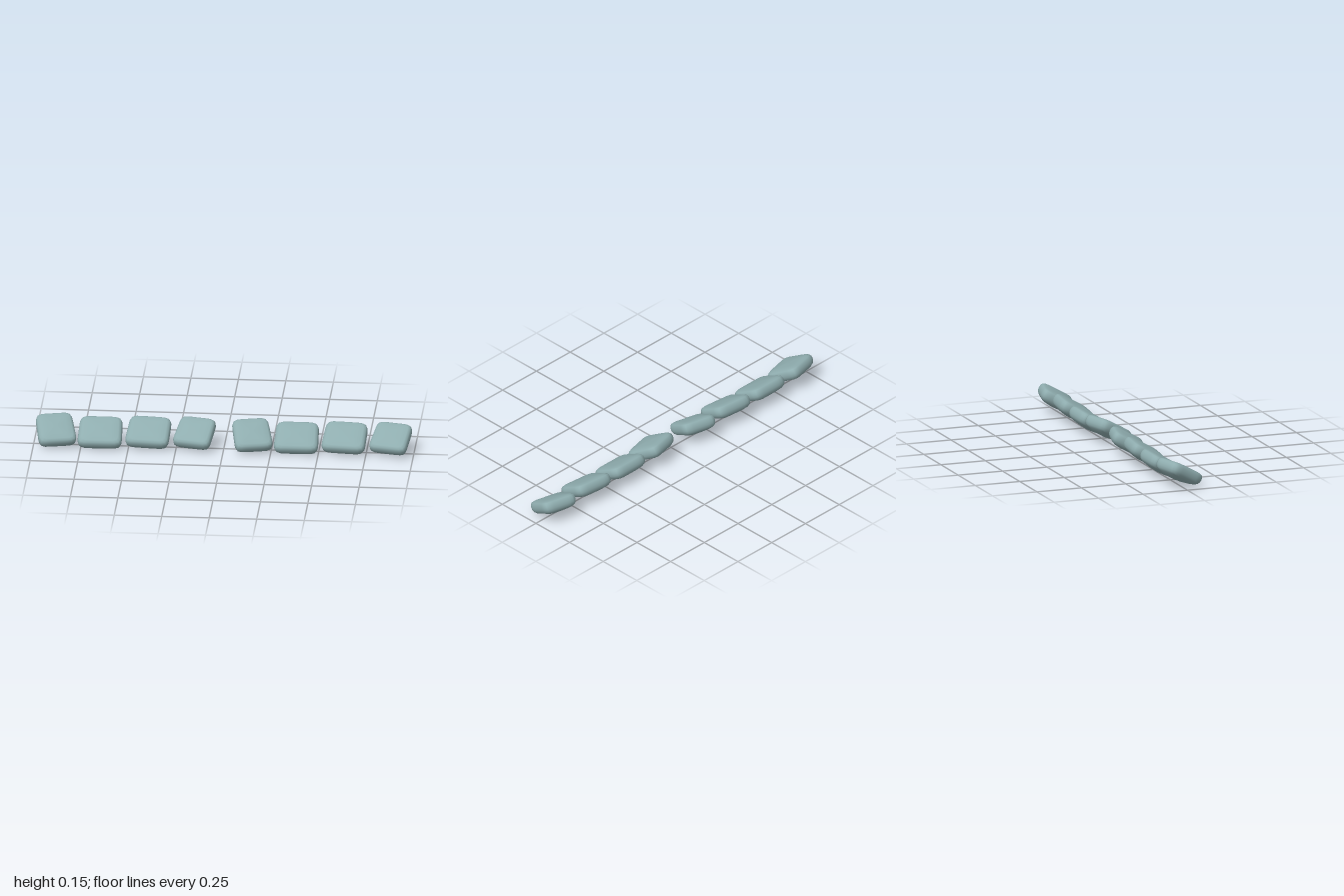
import * as THREE from 'three';
import { mergeVertices } from 'three/addons/utils/BufferGeometryUtils.js';

// Edge profile of a pad, bottom centre to top centre: [share of half width, height]
const PROFILE = [
  [0, -0.05], [0.3, -0.047], [0.6, -0.041], [0.82, -0.033], [0.93, -0.023], [0.985, -0.01],
  [1, 0.003], [0.985, 0.015], [0.94, 0.025], [0.83, 0.032], [0.55, 0.035], [0.28, 0.037], [0, 0.038],
];
const TILT = 0.5;

// Pillow-shaped pad: a lathed profile pushed out to a rounded rectangle
function padGeometry(halfWidth, halfDepth) {
  const points = PROFILE.map(([r, y]) => new THREE.Vector2(r, y));
  let geo = new THREE.LatheGeometry(points, 40);
  geo.deleteAttribute('uv');
  geo.deleteAttribute('normal');
  const pos = geo.attributes.position;
  for (let i = 0; i < pos.count; i++) {
    const x = pos.getX(i), z = pos.getZ(i);
    const r = Math.hypot(x, z);
    if (r < 1e-6) {
      pos.setXYZ(i, 0, pos.getY(i), 0);
      continue;
    }
    const c = Math.abs(x / r), s = Math.abs(z / r), p = 7;
    const f = Math.pow(Math.pow(c, p) + Math.pow(s, p), -1 / p);
    const taper = 1 + 0.025 * z * f; // slightly narrower at the back
    pos.setXYZ(i, x * f * halfWidth * taper, pos.getY(i), z * f * halfDepth);
  }
  geo = mergeVertices(geo, 1e-5);
  geo.computeVertexNormals();
  return geo;
}

export function createModel() {
  const model = new THREE.Group();
  model.name = 'padRow';
  const material = new THREE.MeshStandardMaterial({ color: 0x8fadaf });
  material.name = 'greyTeal';

  // Four pads of one set: position, turn about the vertical, half sizes
  const pads = [
    { at: [-0.885, 0.081, -0.004], yaw: 0.23, w: 0.099, d: 0.1 },
    { at: [-0.65, 0.07, -0.011], yaw: 0, w: 0.115, d: 0.096 },
    { at: [-0.396, 0.078, -0.012], yaw: -0.1, w: 0.114, d: 0.095 },
    { at: [-0.153, 0.081, -0.012], yaw: -0.23, w: 0.1, d: 0.094 },
  ];

  // The same set stands on each side
  [['right', 0], ['left', 1.033]].forEach(([side, shift]) => {
    const set = new THREE.Group();
    set.name = side + 'PadSet';
    set.position.x = shift;
    pads.forEach(({ at, yaw, w, d }, i) => {
      const pad = new THREE.Mesh(padGeometry(w, d), material);
      pad.name = side + 'Pad' + (i + 1);
      pad.position.set(...at);
      pad.rotation.set(TILT, yaw, 0, 'YXZ');
      set.add(pad);
    });
    model.add(set);
  });
  return model;
}
